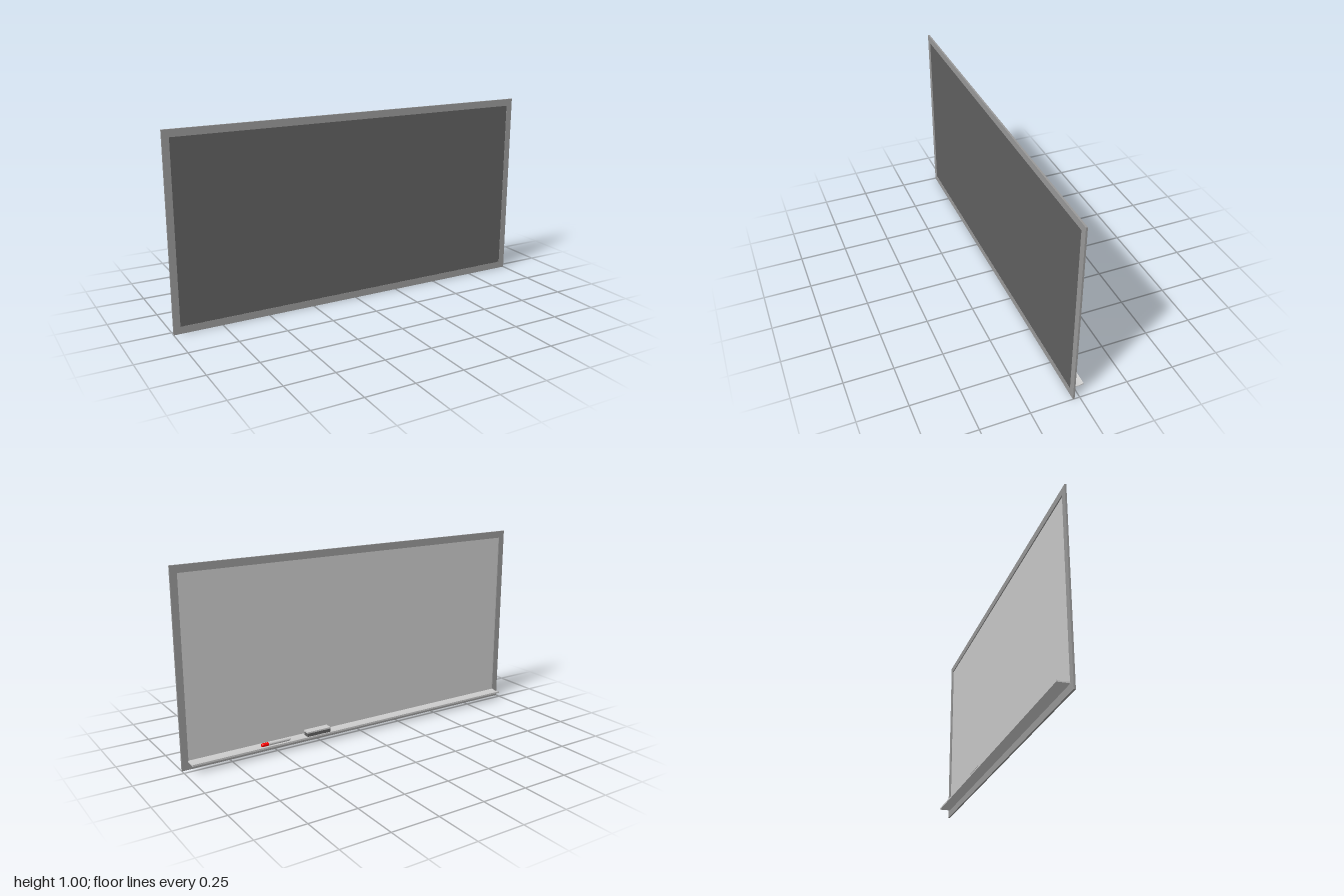
import * as THREE from 'three';

const mat = (color = 0xcccccc, flatShading = false) =>
  new THREE.MeshStandardMaterial({ color, flatShading });

function add(parent, name, geometry, material, x = 0, y = 0, z = 0) {
  const mesh = new THREE.Mesh(geometry, material);
  mesh.name = name;
  mesh.position.set(x, y, z);
  parent.add(mesh);
  return mesh;
}

function rect(path, w, y0, y1) {
  path.moveTo(-w, y0);
  path.lineTo(w, y0);
  path.lineTo(w, y1);
  path.lineTo(-w, y1);
  path.closePath();
  return path;
}

export function createModel() {
  const model = new THREE.Group();
  model.name = 'whiteboard';
  const light = mat();
  const mid = mat(0x999999);
  const dark = mat(0x606060);

  // Frame: thin rectangle with an opening
  const outline = rect(new THREE.Shape(), 1, 0, 0.997);
  outline.holes.push(rect(new THREE.Path(), 0.965, 0.037, 0.96));
  const frame = new THREE.ExtrudeGeometry(outline, { depth: 0.009, bevelEnabled: false });
  add(model, 'frame', frame, mid, 0, 0, 0.026);

  // Panel: dark backing on +z, pale writing face on -z, set into the frame
  add(model, 'backingPanel', new THREE.BoxGeometry(1.93, 0.923, 0.001), dark, 0, 0.4985, 0.0337);
  add(model, 'writingSurface', new THREE.BoxGeometry(1.93, 0.923, 0.002), light, 0, 0.4985, 0.0322);

  // Tray: shallow dished section swept along x; section x runs towards -z
  const section = new THREE.Shape();
  section.moveTo(-0.027, 0.038);
  section.lineTo(0.034, 0.038);
  section.lineTo(0.034, 0.047);
  section.quadraticCurveTo(0.004, 0.037, -0.027, 0.047);
  section.closePath();
  const tray = new THREE.ExtrudeGeometry(section, { depth: 1.934, bevelEnabled: false, curveSegments: 10 });
  tray.rotateY(Math.PI / 2);
  tray.translate(-0.967, 0, 0);
  add(model, 'tray', tray, light);

  // Eraser: felt block under a grip
  const eraser = new THREE.Group();
  eraser.name = 'eraser';
  eraser.position.set(0.268, 0, -0.003);
  add(eraser, 'eraserFelt', new THREE.BoxGeometry(0.134, 0.019, 0.039), dark, 0, 0.0525, 0);
  add(eraser, 'eraserGrip', new THREE.BoxGeometry(0.136, 0.008, 0.042), light, 0, 0.066, 0);
  model.add(eraser);

  // Marker: lathed barrel and cap lying along x
  const marker = new THREE.Group();
  marker.name = 'marker';
  marker.position.set(0.435, 0.053, -0.011);
  marker.rotation.z = -Math.PI / 2;
  const lathe = (points) =>
    new THREE.LatheGeometry(points.map(([r, h]) => new THREE.Vector2(r, h)), 16);
  add(marker, 'markerBarrel',
    lathe([[0, 0], [0.0075, 0], [0.009, 0.002], [0.009, 0.125], [0, 0.125]]), mat(0xcccccc, true));
  add(marker, 'markerCap',
    lathe([[0, 0.123], [0.0096, 0.123], [0.0096, 0.152], [0.007, 0.16], [0, 0.16]]), mat(0xff0000, true));
  model.add(marker);

  return model;
}
